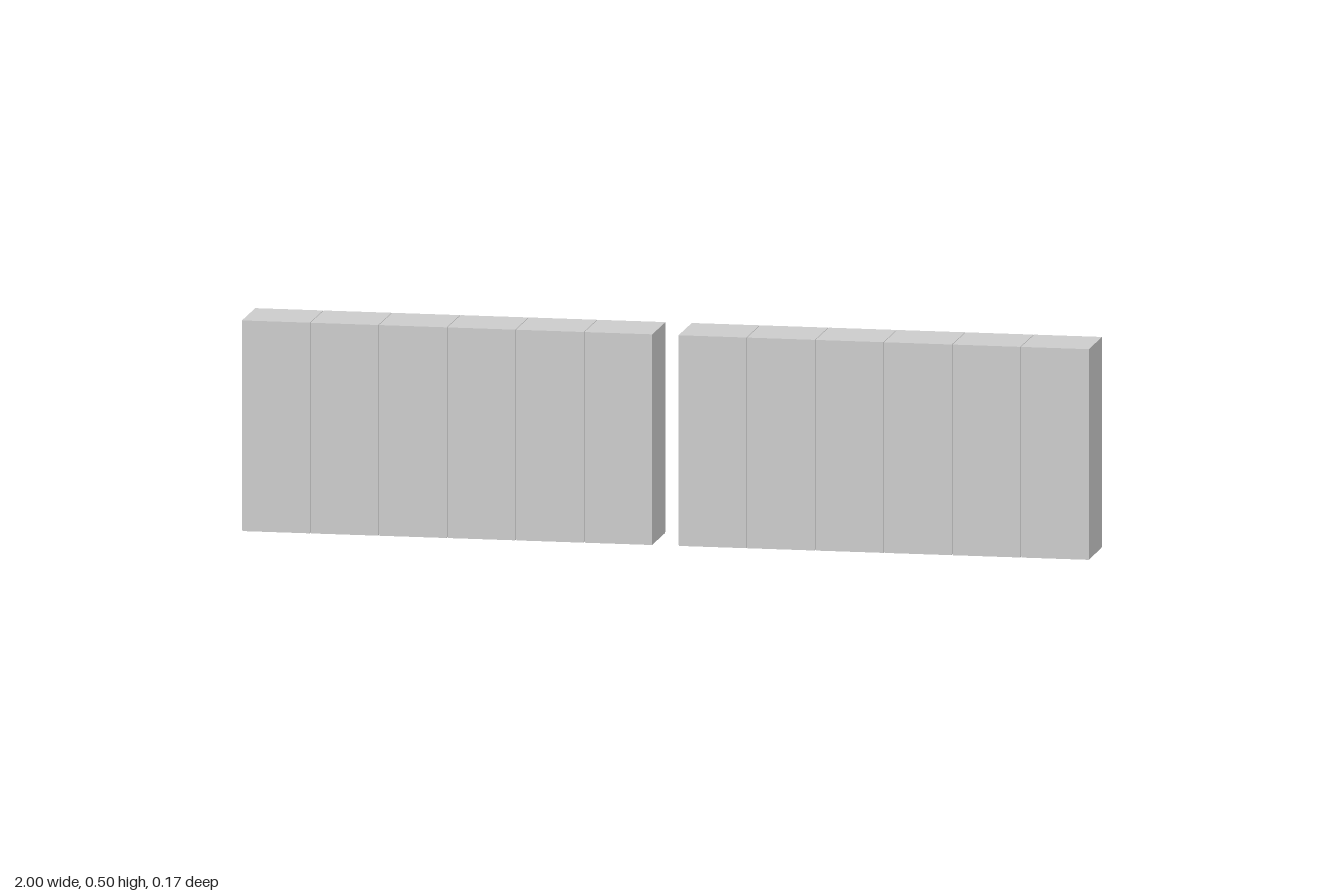
import * as THREE from 'three';

const PITCH = 0.1617, W = 0.1605;       // locker spacing and width
const Y0 = 0.003, Y1 = 0.497;           // cabinet bottom and top
const Z_BACK = 0.083, Z_FACE = -0.0805; // doors open toward -z
const T = 0.002;                        // sheet thickness
const LOUVRES = 9, LOUVRE_W = 0.108, LOUVRE_TOP = 0.456, LOUVRE_STEP = 0.0095;

const material = new THREE.MeshStandardMaterial({ color: 0xcccccc, flatShading: true, side: THREE.DoubleSide });

function add(group, name, geometry, x = 0, y = 0, z = 0) {
  const mesh = new THREE.Mesh(geometry, material);
  mesh.name = name;
  mesh.position.set(x, y, z);
  group.add(mesh);
  return mesh;
}

// Box given by its two opposite corners
function block(group, name, x0, x1, y0, y1, z0, z1) {
  return add(group, name, new THREE.BoxGeometry(x1 - x0, y1 - y0, z1 - z0),
    (x0 + x1) / 2, (y0 + y1) / 2, (z0 + z1) / 2);
}

function rectangle(Type, x0, x1, y0, y1) {
  const r = new Type();
  r.moveTo(x0, y0);
  r.lineTo(x1, y0);
  r.lineTo(x1, y1);
  r.lineTo(x0, y1);
  r.closePath();
  return r;
}

function sheet(shape, depth) {
  return new THREE.ExtrudeGeometry(shape, { depth, bevelEnabled: false });
}

function createLocker() {
  const locker = new THREE.Group();
  locker.name = 'locker';
  const h = W / 2;

  // Hollow cabinet
  block(locker, 'basePlate', -h + 0.001, h - 0.001, 0, Y0, -0.078, 0.08);
  block(locker, 'floorPanel', -h, h, Y0, Y0 + T, Z_FACE + T, Z_BACK);
  block(locker, 'topPanel', -h, h, Y1 - T, Y1, Z_FACE + T, Z_BACK);
  block(locker, 'rearPanel', -h, h, Y0 + T, Y1 - T, Z_BACK - T, Z_BACK);
  for (const s of [-1, 1]) {
    add(locker, 'sidePanel', new THREE.BoxGeometry(T, Y1 - Y0 - 2 * T, Z_BACK - Z_FACE - 2 * T),
      s * (h - T / 2), (Y0 + Y1) / 2, (Z_BACK + Z_FACE) / 2);
  }

  // Door frame
  const frame = rectangle(THREE.Shape, -h, h, Y0, Y1);
  frame.holes.push(rectangle(THREE.Path, -h + 0.004, h - 0.004, Y0 + 0.01, Y1 - 0.012));
  add(locker, 'doorFrame', sheet(frame, T), 0, 0, Z_FACE);

  // Door with slots for the louvres
  const door = rectangle(THREE.Shape, -h + 0.0052, h - 0.0052, Y0 + 0.0115, Y1 - 0.0135);
  for (let i = 0; i < LOUVRES; i++) {
    const top = LOUVRE_TOP - i * LOUVRE_STEP;
    door.holes.push(rectangle(THREE.Path, -LOUVRE_W / 2, LOUVRE_W / 2, top - 0.0065, top));
  }
  add(locker, 'door', sheet(door, 0.0015), 0, 0, Z_FACE + 0.0005);

  // Sloping louvre hoods, open underneath
  const rise = 0.0055, reach = 0.0025;
  const hood = new THREE.BoxGeometry(LOUVRE_W, Math.hypot(rise, reach), 0.0005);
  hood.rotateX(Math.atan2(reach, rise));
  for (let i = 0; i < LOUVRES; i++) {
    add(locker, 'louvre', hood, 0, LOUVRE_TOP - i * LOUVRE_STEP - rise / 2, Z_FACE + 0.0005 - reach / 2);
  }

  // Latch handle on its plate
  const hx = h - 0.014;
  block(locker, 'latchPlate', hx - 0.0045, hx + 0.0045, 0.26, 0.289, Z_FACE - 0.0003, Z_FACE + 0.001);
  block(locker, 'latchHandle', hx - 0.002, hx + 0.002, 0.263, 0.286, -0.083, Z_FACE);

  // Hinge knuckles
  const knuckle = new THREE.CylinderGeometry(0.0012, 0.0012, 0.018, 8);
  for (const y of [0.06, 0.25, 0.44]) add(locker, 'hinge', knuckle, -h + 0.0046, y, Z_FACE + 0.0002);
  return locker;
}

export function createModel() {
  const model = new THREE.Group();
  model.name = 'lockers';
  const locker = createLocker();

  // Two banks of six lockers
  for (const s of [-1, 1]) {
    const bank = new THREE.Group();
    bank.name = s < 0 ? 'rightBank' : 'leftBank';
    bank.position.x = s * (1 - (5 * PITCH + W) / 2);
    for (let i = 0; i < 6; i++) {
      const unit = locker.clone();
      unit.position.x = (i - 2.5) * PITCH;
      bank.add(unit);
    }
    model.add(bank);
  }
  return model;
}
